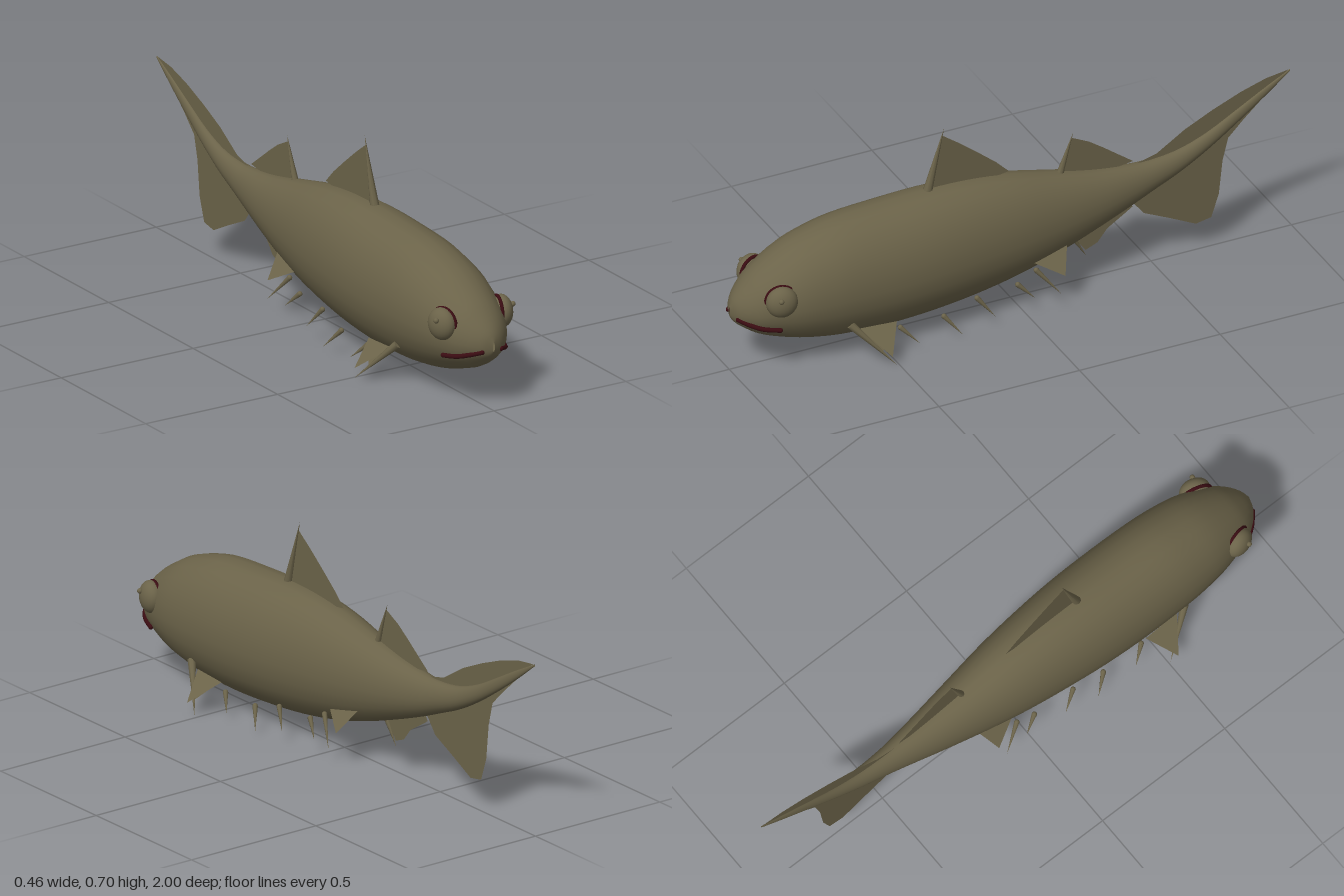
import * as THREE from 'three';

const skin = new THREE.MeshStandardMaterial({ color: 0x6b6349, side: THREE.DoubleSide });
skin.name = 'olive skin';
const red = new THREE.MeshStandardMaterial({ color: 0x3a0c12 });
red.name = 'dark red';

const V = (x, y, z) => new THREE.Vector3(x, y, z);

function add(parent, name, geometry, material = skin) {
  const mesh = new THREE.Mesh(geometry, material);
  mesh.name = name;
  parent.add(mesh);
  return mesh;
}

// Loft of egg-shaped rings; stations are [z, top, bottom, half width]
function bodyGeometry(stations, rings = 64, sides = 24) {
  const heights = new THREE.CatmullRomCurve3(stations.map(s => V(s[0], s[1], s[2])), false, 'catmullrom');
  const widths = new THREE.CatmullRomCurve3(stations.map(s => V(s[3], 0, 0)), false, 'catmullrom');
  const pos = [], index = [];
  for (let i = 0; i <= rings; i++) {
    const h = heights.getPoint(i / rings), w = widths.getPoint(i / rings).x;
    const mid = h.z + (h.y - h.z) * 0.47;
    for (let j = 0; j < sides; j++) {
      const a = j / sides * Math.PI * 2, s = Math.sin(a);
      pos.push(Math.cos(a) * w, mid + s * (s > 0 ? h.y - mid : mid - h.z), h.x);
      if (i === rings) continue;
      const k = (j + 1) % sides, p = i * sides, q = p + sides;
      index.push(p + j, q + j, p + k, p + k, q + j, q + k);
    }
  }
  const g = new THREE.BufferGeometry();
  g.setAttribute('position', new THREE.Float32BufferAttribute(pos, 3));
  g.setIndex(index);
  g.computeVertexNormals();
  return g;
}

// Thin upright fin from [z, y] outline points
function finGeometry(points) {
  const shape = new THREE.Shape(points.map(p => new THREE.Vector2(p[0], p[1])));
  return new THREE.ShapeGeometry(shape).rotateY(-Math.PI / 2);
}

// Flat triangle web between three points
function webGeometry(a, b, c) {
  const g = new THREE.BufferGeometry().setFromPoints([a, b, c]);
  g.computeVertexNormals();
  return g;
}

// Tapered spine from base to tip
function addSpine(parent, name, base, tip, radius) {
  const dir = tip.clone().sub(base);
  const mesh = add(parent, name, new THREE.ConeGeometry(radius, dir.length(), 8));
  mesh.position.copy(base).lerp(tip, 0.5);
  mesh.quaternion.setFromUnitVectors(V(0, 1, 0), dir.normalize());
}

export function createModel() {
  const model = new THREE.Group();
  model.name = 'spinyFish';

  add(model, 'body', bodyGeometry([
    [1.0, 0.235, 0.205, 0.004], [0.985, 0.27, 0.18, 0.042], [0.95, 0.312, 0.152, 0.08],
    [0.9, 0.357, 0.122, 0.11], [0.8, 0.418, 0.088, 0.141], [0.7, 0.452, 0.066, 0.155],
    [0.6, 0.472, 0.054, 0.16], [0.45, 0.482, 0.05, 0.161], [0.3, 0.488, 0.057, 0.156],
    [0.15, 0.484, 0.073, 0.143], [0, 0.465, 0.1, 0.125], [-0.15, 0.432, 0.14, 0.1],
    [-0.3, 0.4, 0.192, 0.073], [-0.42, 0.385, 0.238, 0.051], [-0.5, 0.383, 0.272, 0.039],
    [-0.6, 0.396, 0.315, 0.028], [-0.7, 0.432, 0.37, 0.019], [-0.8, 0.485, 0.436, 0.012],
    [-0.9, 0.54, 0.508, 0.007], [-0.995, 0.589, 0.582, 0.002],
  ]));

  // Median fins
  add(model, 'frontDorsalFin', finGeometry([
    [0.3, 0.48], [0.24, 0.672], [0.18, 0.628], [0.11, 0.572], [0.05, 0.522], [0.005, 0.477], [0.1, 0.462],
  ]));
  addSpine(model, 'frontDorsalSpine', V(0, 0.475, 0.296), V(0, 0.702, 0.235), 0.016);
  add(model, 'rearDorsalFin', finGeometry([
    [-0.17, 0.41], [-0.22, 0.54], [-0.28, 0.51], [-0.33, 0.475], [-0.39, 0.43], [-0.437, 0.395], [-0.36, 0.385],
  ]));
  addSpine(model, 'rearDorsalSpine', V(0, 0.405, -0.172), V(0, 0.56, -0.224), 0.013);
  add(model, 'analFin', finGeometry([
    [-0.2, 0.2], [-0.268, 0.108], [-0.31, 0.125], [-0.345, 0.168], [-0.435, 0.225], [-0.42, 0.25], [-0.3, 0.24],
  ]));
  addSpine(model, 'analSpine', V(0, 0.178, -0.215), V(0, 0.087, -0.27), 0.01);
  add(model, 'lowerTailFin', finGeometry([
    [-0.42, 0.26], [-0.475, 0.19], [-0.57, 0.145], [-0.66, 0.1], [-0.715, 0.11], [-0.742, 0.19],
    [-0.755, 0.31], [-0.775, 0.39], [-0.83, 0.445], [-0.98, 0.58], [-0.8, 0.47], [-0.6, 0.36],
  ]));
  add(model, 'upperTailFin', finGeometry([
    [-0.44, 0.38], [-0.52, 0.4], [-0.62, 0.463], [-0.72, 0.51], [-0.82, 0.55], [-0.91, 0.577],
    [-0.99, 0.588], [-0.8, 0.47], [-0.6, 0.37],
  ]));

  // Belly spines: base x, y, z then tip x, y, z
  const bellySpines = [
    [0.13, 0.085, 0.455, 0.165, 0.033, 0.405], [0.13, 0.085, 0.3, 0.168, 0.022, 0.25],
    [0.125, 0.118, 0.18, 0.153, 0.05, 0.128], [0.115, 0.122, 0.03, 0.14, 0.07, -0.022],
    [0.11, 0.155, -0.038, 0.15, 0.067, -0.11],
  ];

  for (const s of [1, -1]) {
    const side = new THREE.Group();
    side.name = s > 0 ? 'leftSide' : 'rightSide';
    model.add(side);
    const P = (x, y, z) => V(s * x, y, z);

    // Eye with socket rim and small pupil
    const eye = new THREE.Group();
    eye.name = 'eye';
    eye.position.copy(P(0.113, 0.282, 0.868));
    eye.rotation.y = -s * 0.25;
    side.add(eye);
    add(eye, 'eyeball', new THREE.SphereGeometry(1, 24, 16)).scale.set(0.036, 0.054, 0.052);
    const rim = add(eye, 'eyeRim', new THREE.TorusGeometry(0.05, 0.006, 8, 28), red);
    rim.rotation.y = Math.PI / 2;
    rim.position.x = -s * 0.012;
    add(side, 'pupil', new THREE.SphereGeometry(0.009, 12, 8)).position.copy(P(0.145, 0.304, 0.885));

    // Mouth line
    const lip = new THREE.CatmullRomCurve3([
      P(0.036, 0.205, 0.986), P(0.07, 0.193, 0.955), P(0.092, 0.183, 0.922), P(0.111, 0.176, 0.872),
    ]);
    add(side, 'mouth', new THREE.TubeGeometry(lip, 16, 0.008, 8), red);
    for (const t of [0, 1])
      add(side, 'mouthEnd', new THREE.SphereGeometry(0.008, 8, 6), red).position.copy(lip.getPoint(t));

    // Pectoral fin
    addSpine(side, 'pectoralSpine', P(0.13, 0.142, 0.632), P(0.215, 0.004, 0.507), 0.014);
    add(side, 'pectoralFin', webGeometry(P(0.13, 0.12, 0.6), P(0.228, 0.048, 0.53), P(0.135, 0.115, 0.47)));
    add(side, 'pectoralWeb', webGeometry(P(0.13, 0.12, 0.6), P(0.185, 0.045, 0.545), P(0.14, 0.11, 0.48)));

    // Belly spines with rounded roots, and pelvic fin
    for (const [a, b, c, d, e, f] of bellySpines) {
      addSpine(side, 'bellySpine', P(a, b, c), P(d, e, f), 0.009);
      add(side, 'spineRoot', new THREE.SphereGeometry(0.009, 8, 6)).position.copy(P(a, b, c));
    }
    add(side, 'pelvicFin', webGeometry(P(0.09, 0.17, -0.04), P(0.135, 0.122, -0.13), P(0.075, 0.195, -0.165)));
  }
  return model;
}
